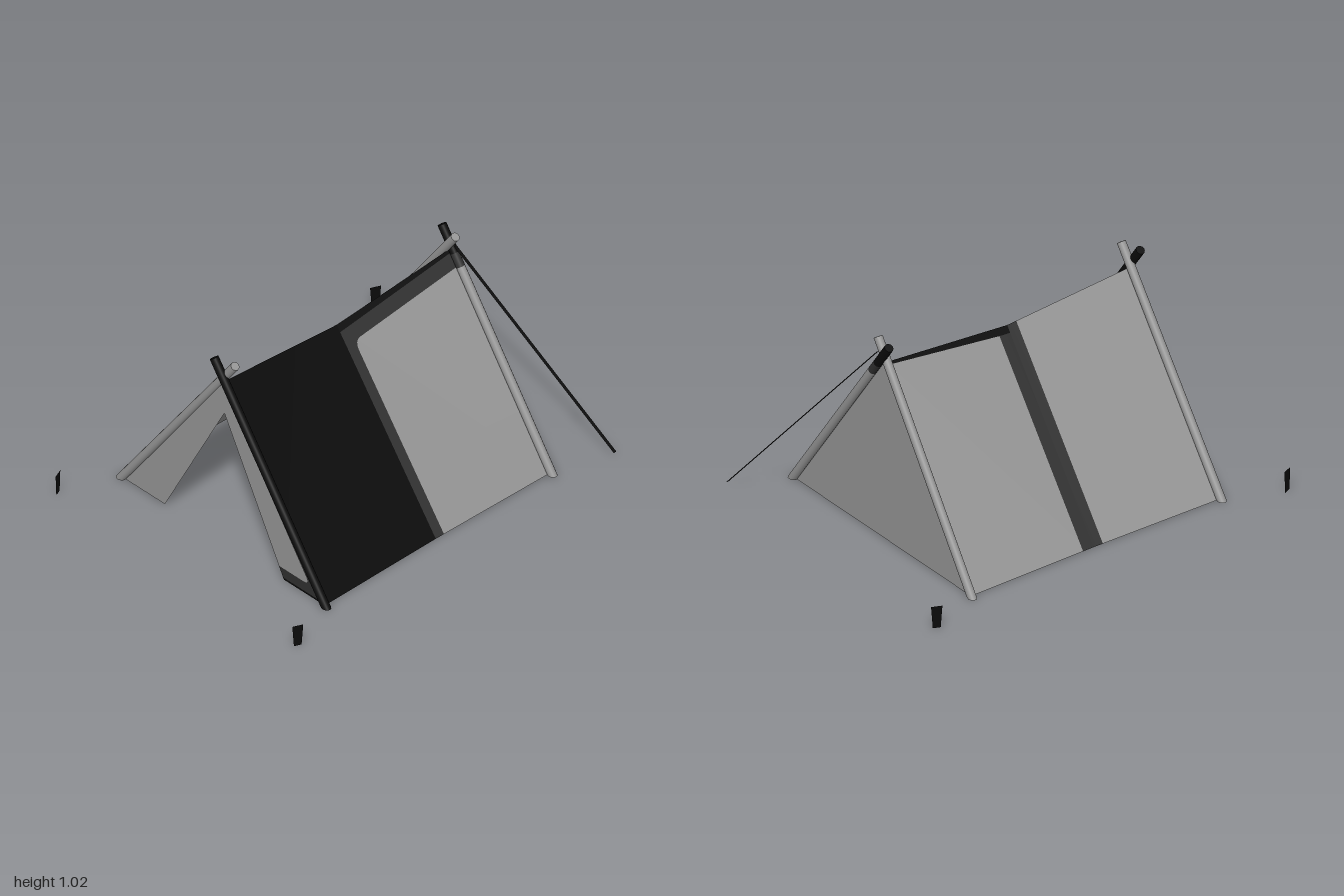
import * as THREE from 'three';

const mat = (name, color) => {
  const m = new THREE.MeshStandardMaterial({ color, side: THREE.DoubleSide });
  m.name = name;
  return m;
};

export function createModel() {
  const group = new THREE.Group();
  const grey = mat('grey canvas', 0x959595);
  const dark = mat('dark trim', 0x303030);
  const black = mat('black canvas', 0x0b0b0b);

  const add = (name, geometry, material) => {
    const mesh = new THREE.Mesh(geometry, material);
    mesh.name = name;
    group.add(mesh);
    return mesh;
  };

  // Flat sheet from an outline of [a, b] points, moved into place by a mapping rule
  const sheet = (name, pts, material, map) => {
    const shape = new THREE.Shape(pts.map(p => new THREE.Vector2(p[0], p[1])));
    const g = new THREE.ShapeGeometry(shape);
    const pos = g.attributes.position;
    for (let i = 0; i < pos.count; i++) pos.setXYZ(i, ...map(pos.getX(i), pos.getY(i)));
    g.computeVertexNormals();
    return add(name, g, material);
  };
  const rect = (a0, a1, b0, b1) => [[a0, b0], [a1, b0], [a1, b1], [a0, b1]];

  // Rounded corner: quadratic curve from p to r around q
  const corner = (p, q, r) => new THREE.QuadraticBezierCurve(
    new THREE.Vector2(...p), new THREE.Vector2(...q), new THREE.Vector2(...r)
  ).getPoints(6).map(v => [v.x, v.y]);

  // Roof slopes: a = z, b = fraction from ridge (0) down to the ground (1); ridge sags at the middle
  const END = 0.69;
  const slope = side => (z, u) => {
    const t = Math.abs(z) / END;
    return [side * u * (0.633 + 0.008 * t), (0.845 + 0.053 * t) * (1 - u), z];
  };
  const L = slope(1), R = slope(-1);

  // Left slope: black front half, grey back half with a rounded dark border
  sheet('leftRoofFront', rect(0, END, 0, 1), black, L);
  sheet('leftRidgeStrip', [[0, 0], [-END, 0], [-END, 0.015], [0, 0.035]], black, L);
  const bend = corner([-0.05, 0.145], [-0.05, 0.1], [-0.085, 0.098]);
  sheet('leftRoofBorder', [[-END, 0.015], [0, 0.035], [0, 1], [-0.05, 1], ...bend, [-END, 0.078]], dark, L);
  sheet('leftRoofBack', [[-0.05, 1], ...bend, [-END, 0.078], [-END, 1]], grey, L);

  // Right slope: grey with a dark centre stripe and a narrow black ridge edge at the back
  sheet('rightRoofFront', rect(0.05, END, 0, 1), grey, R);
  sheet('rightStripeFront', rect(0, 0.05, 0, 1), dark, R);
  sheet('rightStripeBack', rect(-0.06, 0, 0.035, 1), dark, R);
  sheet('rightRoofBack', [[-END, 0.012], [-0.06, 0.035], [-0.06, 1], [-END, 1]], grey, R);
  sheet('rightRidgeStrip', [[0, 0], [-END, 0], [-END, 0.012], [-0.06, 0.035], [0, 0.035]], black, R);

  // End walls
  const front = (x, y) => [x, y, END];
  const back = (x, y) => [-x, y, -END];
  sheet('backWall', [[-0.645, 0], [0.645, 0], [0, 0.897]], grey, back);
  sheet('rightDoorFlap', [[-0.645, 0], [-0.38, 0], [0, 0.72], [0, 0.897]], grey, front);

  // Left door flap: grey, dark border and black outer edge
  const hem = corner([0.5, 0.06], [0.545, 0.06], [0.525, 0.09]);
  sheet('leftDoorFlap', [[0, 0.72], [0.348, 0.06], ...hem, [0, 0.85]], grey, front);
  sheet('leftDoorBorder', [[0.348, 0.06], [0.375, 0.01], [0.593, 0.01], [0, 0.86], [0, 0.85],
    ...hem.slice().reverse()], dark, front);
  sheet('leftDoorEdge', [[0.375, 0.01], [0.38, 0], [0.645, 0], [0, 0.897], [0, 0.86], [0.593, 0.01]], black, front);

  // Crossed poles, built from sections along the axis and cut level with the ground
  const RADIUS = 0.021;
  const pole = (name, side, end, topZ, sections) => {
    const foot = new THREE.Vector3(side * 0.655, 0, end * 0.695);
    const tip = new THREE.Vector3(side * -0.055, 1.005, end * topZ);
    const dir = tip.clone().sub(foot).normalize();
    const turn = new THREE.Quaternion().setFromUnitVectors(new THREE.Vector3(0, 1, 0), dir);
    sections.forEach(([t0, t1, material], n) => {
      const a = foot.clone().lerp(tip, t0), b = foot.clone().lerp(tip, t1);
      const g = new THREE.CylinderGeometry(RADIUS, RADIUS, a.distanceTo(b), 12);
      g.applyQuaternion(turn);
      const mid = a.clone().add(b).multiplyScalar(0.5);
      g.translate(mid.x, mid.y, mid.z);
      if (t0 === 0) {
        const pos = g.attributes.position, v = new THREE.Vector3();
        for (let i = 0; i < pos.count; i++) {
          v.fromBufferAttribute(pos, i);
          if (v.y > 0.1) continue;
          v.addScaledVector(dir, -v.y / dir.y);
          pos.setXYZ(i, v.x, v.y, v.z);
        }
      }
      add(name + (n || ''), g, material);
    });
  };
  pole('frontRightPole', -1, 1, 0.677, [[0, 1, grey]]);
  pole('backRightPole', -1, -1, 0.677, [[0, 1, grey]]);
  pole('frontLeftPole', 1, 1, 0.7, [[0, 1, black]]);
  pole('backLeftPole', 1, -1, 0.7, [[0, 0.83, grey], [0.83, 0.885, dark], [0.885, 1, black]]);

  // Thin tapered ground stakes set diagonally at three corners
  [[1, 1], [-1, 1], [-1, -1]].forEach(([sx, sz]) => {
    sheet('stake', [[-0.7, 0], [0.7, 0], [1, 0.11], [-1, 0.11]], black,
      (k, y) => [sx * (0.766 + 0.01 * k), y, sz * (0.976 - 0.024 * k)]);
  });

  // Guy line: flat ribbon from the back poles to the ground
  sheet('guyLine', rect(0, 1, -0.008, 0.008), black,
    (t, w) => [0.04 + 0.72 * t, 0.94 - 0.91 * t, -0.69 - 0.29 * t + w]);

  return group;
}
